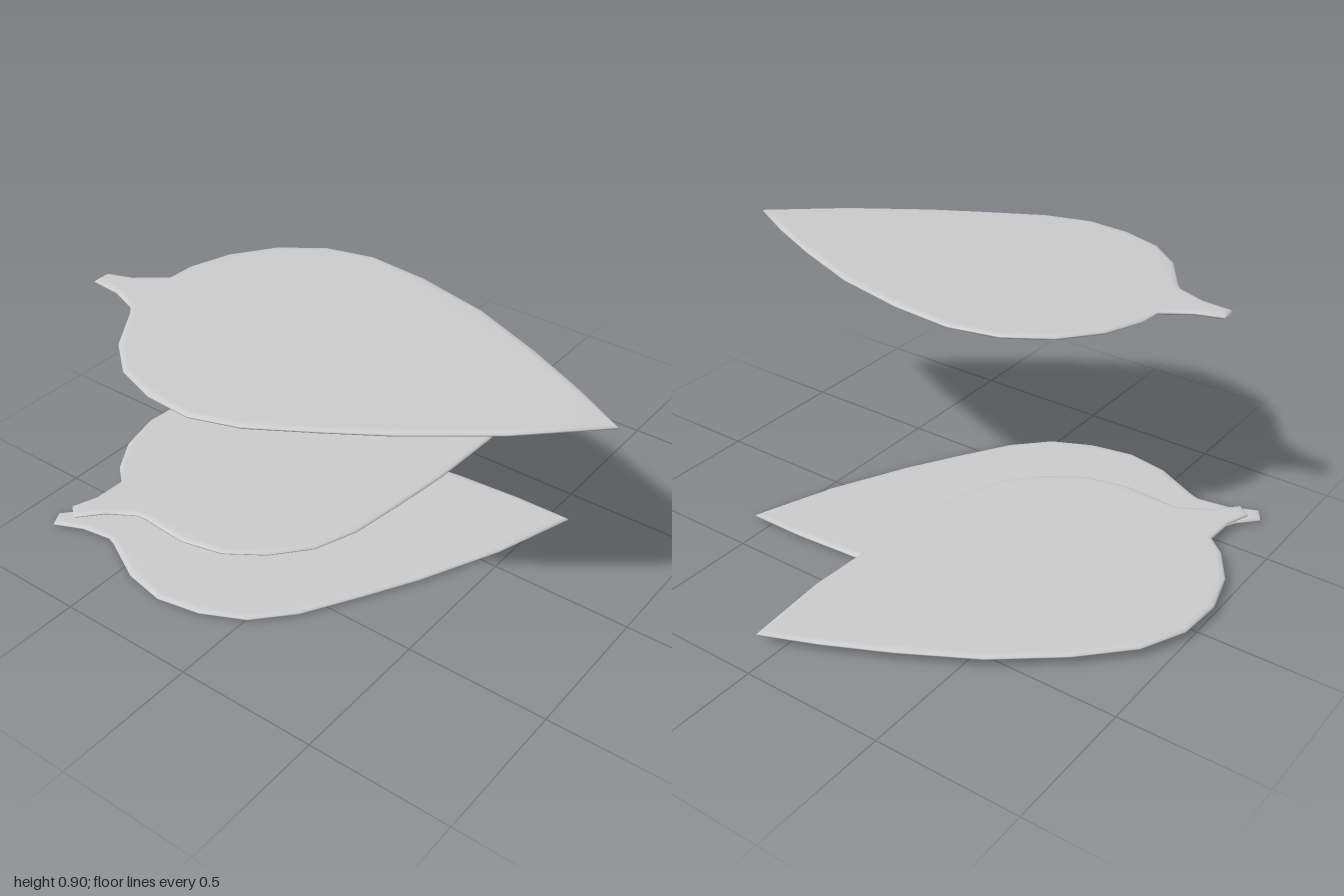
import * as THREE from 'three';
import { mergeVertices } from 'three/addons/utils/BufferGeometryUtils.js';

// Leaf outline as [x, z], starting at the stem end and running round the blade
const OUTLINE = [
  [-0.48, -0.79], [-0.49, -0.68], [-0.53, -0.575], [-0.56, -0.55], [-0.71, -0.45],
  [-0.81, -0.33], [-0.86, -0.18], [-0.87, -0.02], [-0.82, 0.14], [-0.71, 0.33],
  [-0.6, 0.51], [-0.42, 0.76], [-0.21, 0.99], [-0.11, 0.81], [-0.01, 0.6],
  [0.095, 0.34], [0.155, 0.08], [0.175, -0.14], [0.135, -0.31], [0.04, -0.45],
  [-0.09, -0.55], [-0.23, -0.6], [-0.32, -0.605], [-0.39, -0.7], [-0.42, -0.79],
];
const STEM = [-0.45, -0.79];
const CORE = 0.004, BEVEL = 0.007;

// Thin flat leaf with a softly tapered rim, pivoting on its stem end
function leafGeometry() {
  const shape = new THREE.Shape(
    OUTLINE.map(([x, z]) => new THREE.Vector2(x - STEM[0], STEM[1] - z)));
  const solid = new THREE.ExtrudeGeometry(shape, {
    depth: CORE, bevelEnabled: true, bevelThickness: BEVEL,
    bevelSize: 0.02, bevelOffset: -0.02, bevelSegments: 2,
  });
  solid.translate(0, 0, -CORE / 2);
  solid.rotateX(-Math.PI / 2);
  solid.deleteAttribute('normal');
  solid.deleteAttribute('uv');
  // Shared corners give a smooth rim; the large caps stay flat
  const leaf = mergeVertices(solid, 1e-5);
  leaf.computeVertexNormals();
  return leaf;
}

export function createModel() {
  const group = new THREE.Group();
  group.name = 'leaves';
  const geometry = leafGeometry();
  const material = new THREE.MeshStandardMaterial({ color: 0xcccccc });

  // Same leaf three times: two fanned out low down, one floating above
  const leaves = [
    { name: 'bottomLeaf', position: [-0.717, 0.009, -0.868], rotation: [0, 0.506, 0] },
    { name: 'middleLeaf', position: [-0.675, 0.034, -0.825], rotation: [0, 0.909, 0] },
    { name: 'topLeaf', position: [STEM[0], 0.879, STEM[1]], rotation: [-0.003, 0, 0.018] },
  ];
  for (const { name, position, rotation } of leaves) {
    const leaf = new THREE.Mesh(geometry, material);
    leaf.name = name;
    leaf.position.set(...position);
    leaf.rotation.set(...rotation);
    group.add(leaf);
  }
  return group;
}
